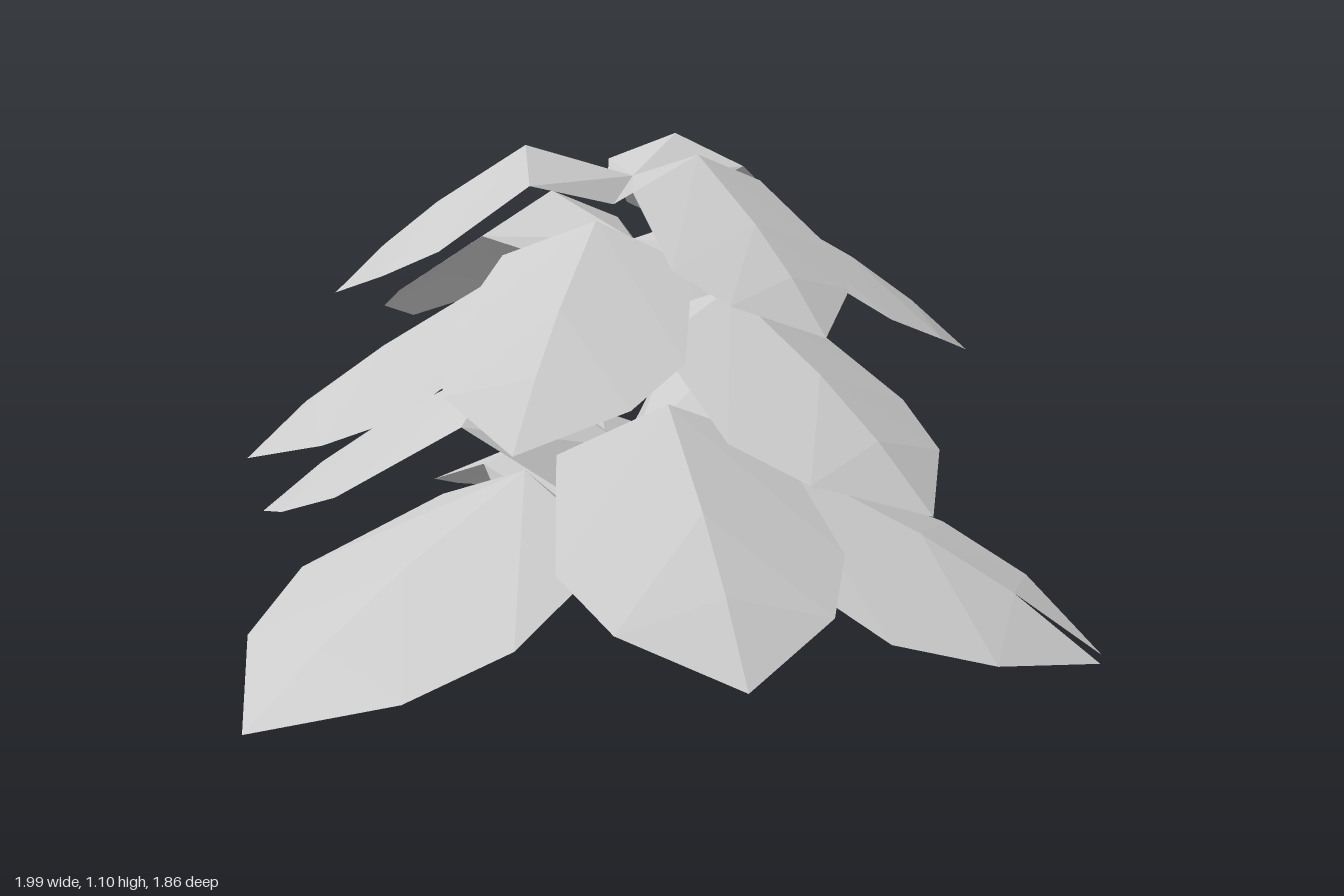
import * as THREE from 'three';

const material = new THREE.MeshStandardMaterial({
  color: 0xcccccc, flatShading: true, side: THREE.DoubleSide,
});

// Whorls from bottom to top, each of three leaves that meet on the axis.
// heart: height where the midribs meet; collar: [radius, height] of the corners shared by neighbours;
// peak / tip: [distance from axis, height]; width: largest half width.
const tiers = [
  { name: 'lowest', heart: 0.15, collar: [0.21, 0.0], peak: [0.32, 0.42], tip: [1.06, 0.02], width: 0.36, turn: 180 },
  { name: 'low', heart: 0.41, collar: [0.18, 0.33], peak: [0.32, 0.59], tip: [0.93, 0.18], width: 0.3, turn: 0 },
  { name: 'middle', heart: 0.71, collar: [0.15, 0.66], peak: [0.3, 0.82], tip: [0.86, 0.44], width: 0.27, turn: 90 },
  { name: 'high', heart: 0.89, collar: [0.12, 0.83], peak: [0.27, 0.97], tip: [0.8, 0.6], width: 0.26, turn: -90 },
  { name: 'top', heart: 1.03, collar: [0.1, 0.98], peak: [0.235, 1.1], tip: [0.656, 0.78], width: 0.21, turn: 98 },
];

// The lowest leaves differ: droop of the two edges, and half the gap at a torn tip
const evenLeaf = { droop: [1, 1], slit: 0 };
const lowestLeaves = [
  { droop: [0.6, 0.6], slit: 0 },
  { droop: [0.6, 0.7], slit: 0.027 },
  { droop: [1, 0.6], slit: 0.027 },
];

// One folded leaf along +x: rises from the heart, bends at the peak, droops to the tip.
function leafGeometry({ heart, collar, peak, tip, width }, { droop, slit }) {
  // Station: midrib point, then edge point as [distance, height, half width]
  const station = ([r, y], w, drop) => ({ rib: [r, y, 0], edge: [r, y - drop, w] });
  const along = (t, h) => [
    peak[0] + (tip[0] - peak[0]) * t,
    tip[1] + (peak[1] - tip[1]) * h,
  ];
  const positions = [];
  for (const side of [1, -1]) {
    const sag = width * droop[side > 0 ? 0 : 1];
    const stations = [
      { rib: [0, heart, 0], edge: [collar[0] / 2, collar[1], collar[0] * Math.sin(Math.PI / 3)] },
      station(peak, width * 0.8, width * 0.32),
      station(along(0.46, 0.62), width, sag * 0.36),
      station(along(0.74, 0.33), width * 0.74, sag * 0.2),
      station(tip, slit, 0),
    ];
    const add = (a, b, c) => {
      for (const [x, y, z] of side > 0 ? [a, b, c] : [a, c, b]) positions.push(x, y, z * side);
    };
    for (let i = 0; i < stations.length - 1; i++) {
      const near = stations[i];
      const far = stations[i + 1];
      add(near.rib, near.edge, far.edge);
      // The last span is one triangle, so a slit can open between two tips
      if (i < stations.length - 2) add(near.rib, far.edge, far.rib);
    }
  }
  const geometry = new THREE.BufferGeometry();
  geometry.setAttribute('position', new THREE.Float32BufferAttribute(positions, 3));
  geometry.computeVertexNormals();
  return geometry;
}

export function createModel() {
  const plant = new THREE.Group();
  plant.name = 'leafyPlant';
  tiers.forEach((tier, level) => {
    const whorl = new THREE.Group();
    whorl.name = `${tier.name}Whorl`;
    whorl.position.x = 0.065;
    for (let i = 0; i < 3; i++) {
      const leaf = new THREE.Mesh(leafGeometry(tier, level === 0 ? lowestLeaves[i] : evenLeaf), material);
      leaf.name = `${tier.name}Leaf${i + 1}`;
      leaf.rotation.y = -THREE.MathUtils.degToRad(tier.turn + i * 120);
      whorl.add(leaf);
    }
    plant.add(whorl);
  });
  return plant;
}
